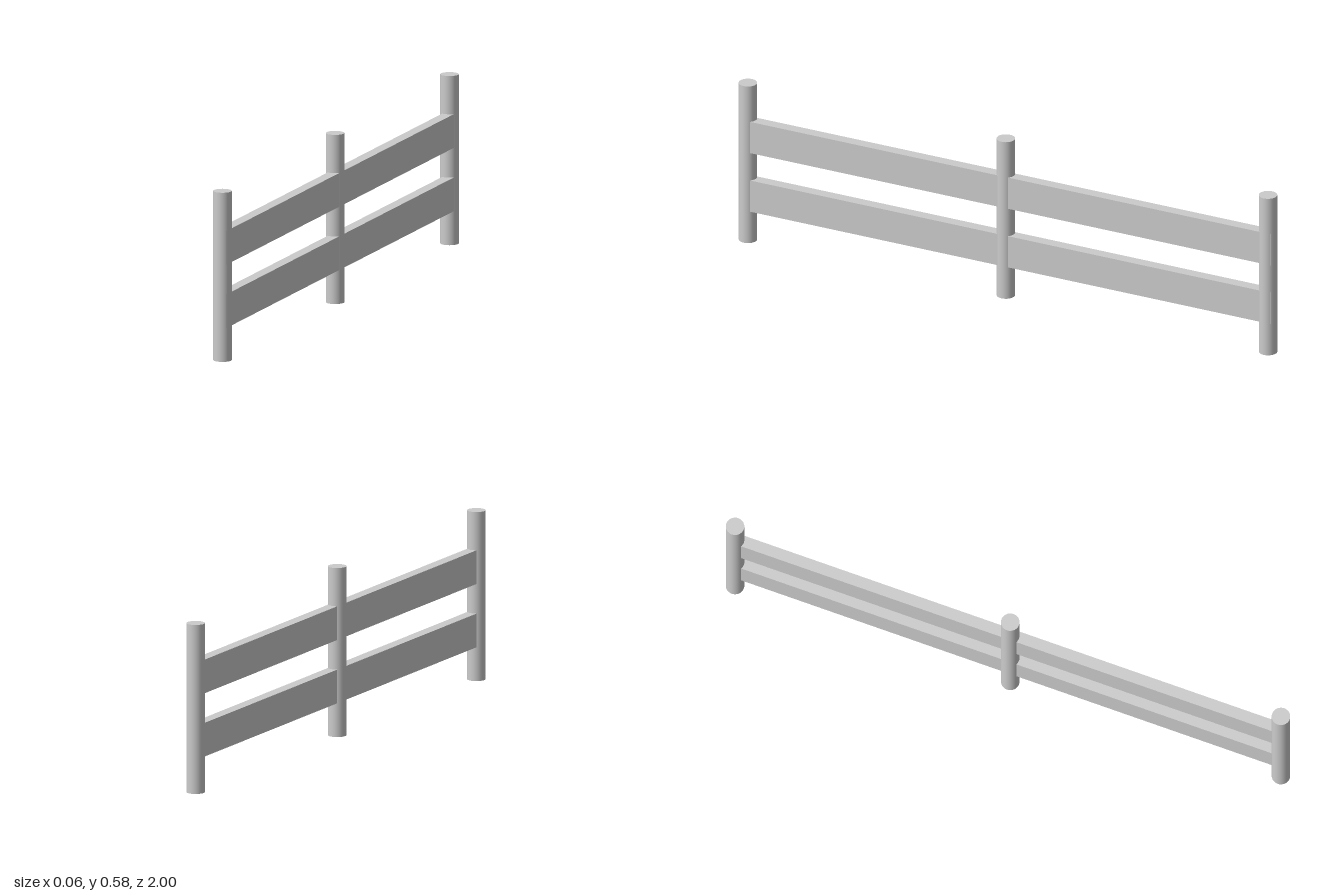
import * as THREE from 'three';

export function createModel() {
  const model = new THREE.Group();
  model.name = 'fence';
  const material = new THREE.MeshStandardMaterial({ color: 0xcccccc });

  // Round posts standing on the ground
  const postRadius = 0.031;
  const postHeight = 0.577;
  const postGeometry = new THREE.CylinderGeometry(postRadius, postRadius, postHeight, 32);
  const posts = { frontPost: 0.969, middlePost: 0.008, backPost: -0.969 };
  for (const [name, z] of Object.entries(posts)) {
    const post = new THREE.Mesh(postGeometry, material);
    post.name = name;
    post.position.set(0, postHeight / 2, z);
    model.add(post);
  }

  // Flat rails running through the posts, set slightly to one side
  const railGeometry = new THREE.BoxGeometry(0.039, 0.115, 1.98);
  const rails = { lowerRail: 0.173, upperRail: 0.389 };
  for (const [name, y] of Object.entries(rails)) {
    const rail = new THREE.Mesh(railGeometry, material);
    rail.name = name;
    rail.position.set(0.0045, y, 0);
    model.add(rail);
  }

  return model;
}
